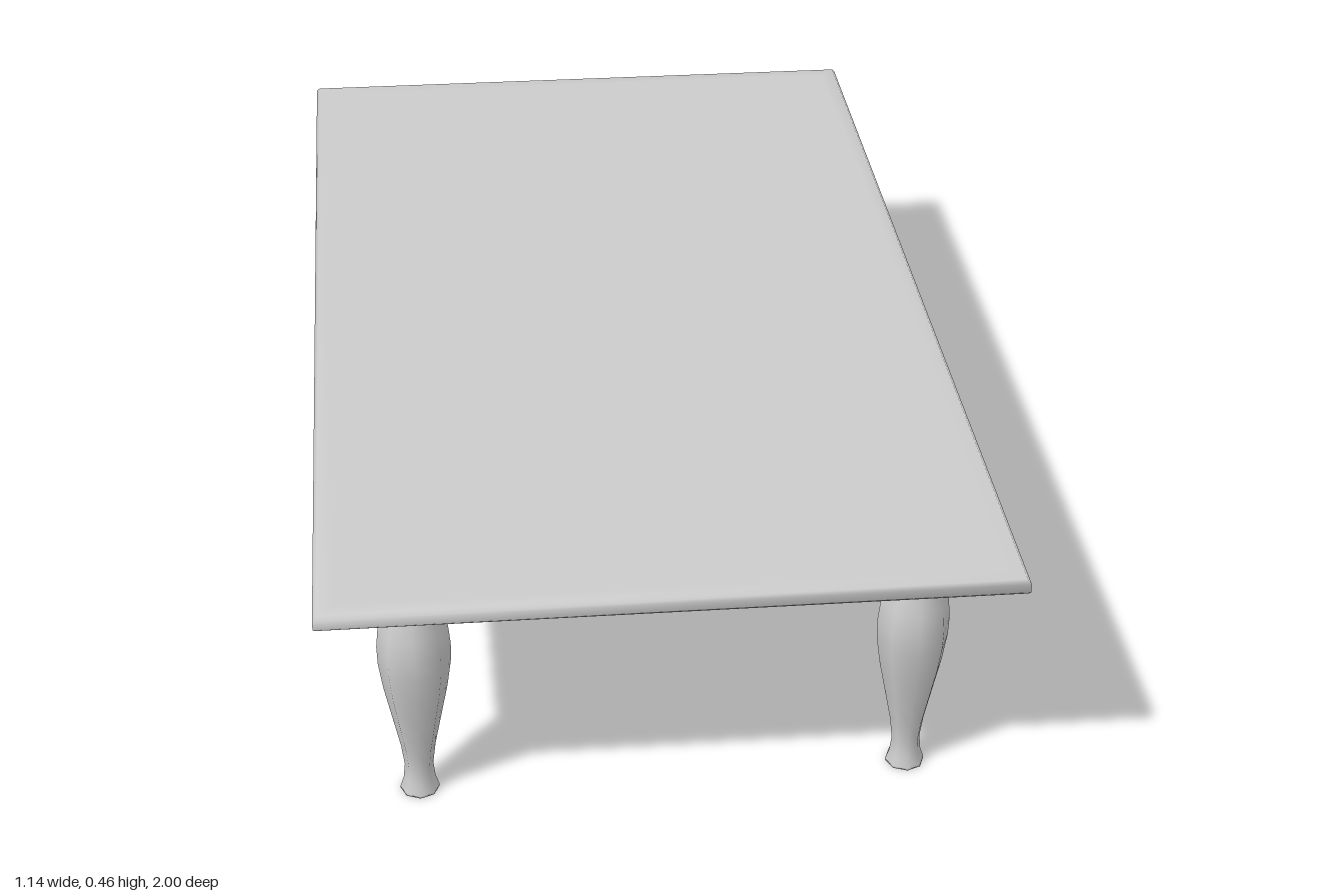
import * as THREE from 'three';

const material = new THREE.MeshStandardMaterial({ color: 0xcccccc });

// Closed rectangular slab with softly shaded edges; rings are [halfX, halfZ, y] from bottom to top
function rectangularLoft(rings) {
  const positions = [];
  const index = [];
  for (const [x, z, y] of rings) positions.push(-x, y, z, x, y, z, x, y, -z, -x, y, -z);
  for (let r = 0; r < rings.length - 1; r++) {
    for (let i = 0; i < 4; i++) {
      const a = r * 4 + i;
      const b = r * 4 + (i + 1) % 4;
      index.push(a, b, b + 4, a, b + 4, a + 4);
    }
  }
  const t = (rings.length - 1) * 4;
  index.push(0, 2, 1, 0, 3, 2, t, t + 1, t + 2, t, t + 2, t + 3);
  const geometry = new THREE.BufferGeometry();
  geometry.setAttribute('position', new THREE.Float32BufferAttribute(positions, 3));
  geometry.setIndex(index);
  geometry.computeVertexNormals();
  return geometry;
}

function addMesh(parent, name, geometry) {
  const mesh = new THREE.Mesh(geometry, material);
  mesh.name = name;
  parent.add(mesh);
  return mesh;
}

export function createModel() {
  const group = new THREE.Group();
  group.name = 'lowTable';

  // Top board with a narrow eased edge
  const board = [[0.06, 0.433], [0.003, 0.433], [0, 0.437], [0, 0.452], [0.006, 0.459], [0.035, 0.46]];
  addMesh(group, 'tableTop', rectangularLoft(board.map(([inset, y]) => [0.571 - inset, 1 - inset, y])));

  // Shallow frame below the board
  addMesh(group, 'apron', rectangularLoft([[0.515, 0.947, 0.41], [0.515, 0.947, 0.434]]));

  // Turned legs: flared foot, bulging body, narrow neck and flared top
  const profile = [
    [0, 0], [0.033, 0], [0.033, 0.004], [0.027, 0.022], [0.024, 0.05], [0.029, 0.09],
    [0.041, 0.15], [0.053, 0.21], [0.06, 0.26], [0.061, 0.295], [0.057, 0.335],
    [0.046, 0.365], [0.045, 0.38], [0.052, 0.398], [0.057, 0.412],
  ].map(([r, y]) => new THREE.Vector2(r, y));
  const legGeometry = new THREE.LatheGeometry(profile, 8);
  for (const [sx, side] of [[1, 'Left'], [-1, 'Right']]) {
    for (const [sz, end] of [[1, 'front'], [-1, 'back']]) {
      addMesh(group, `${end}${side}Leg`, legGeometry).position.set(sx * 0.415, 0, sz * 0.857);
    }
  }
  return group;
}
